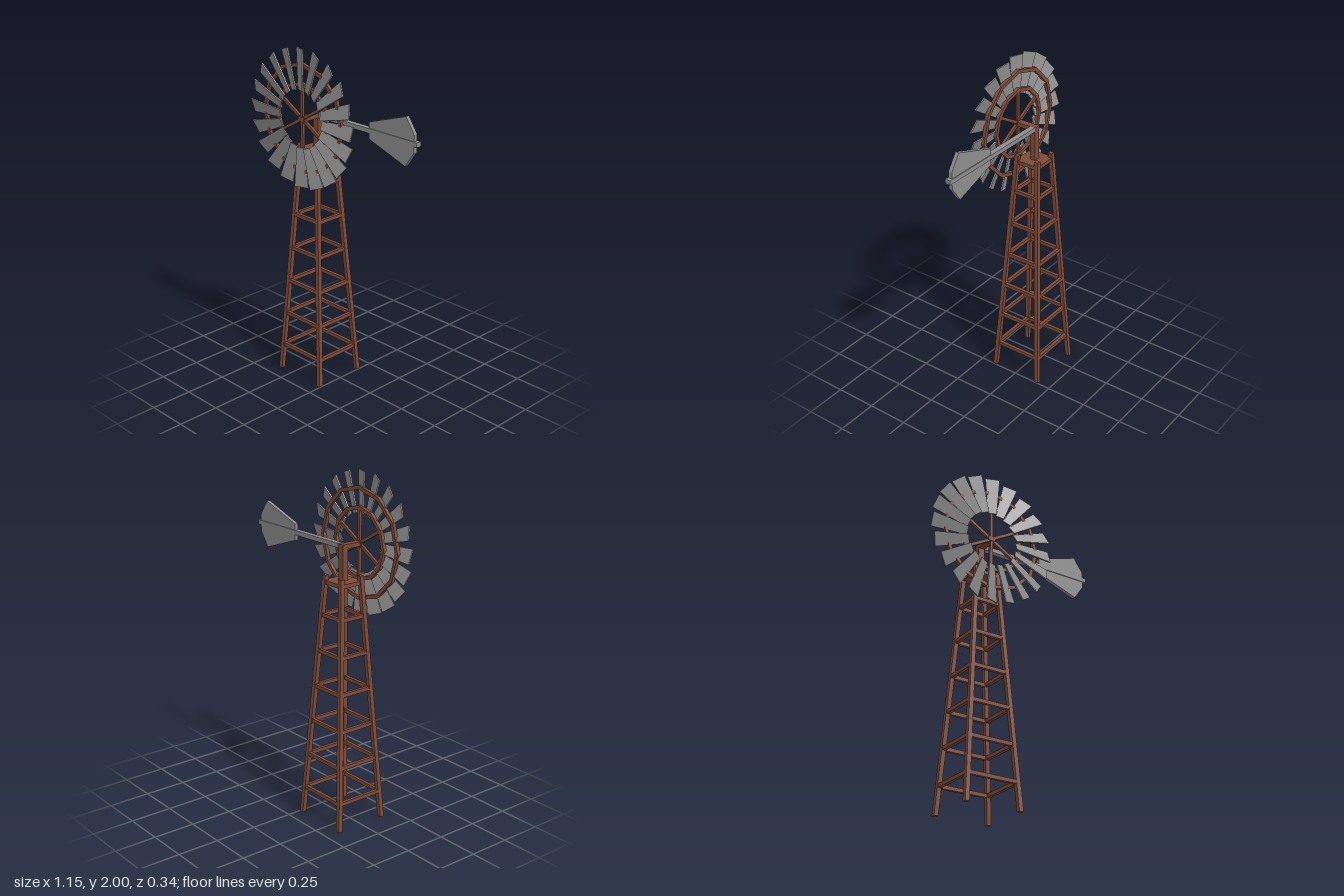
import * as THREE from 'three';

const wood = new THREE.MeshStandardMaterial({ color: 0x7d4b38 });
wood.name = 'brown wood';
const metal = new THREE.MeshStandardMaterial({ color: 0x8e8e8e });
metal.name = 'grey metal';

function add(parent, name, geometry, material, x = 0, y = 0, z = 0) {
  const mesh = new THREE.Mesh(geometry, material);
  mesh.name = name;
  mesh.position.set(x, y, z);
  parent.add(mesh);
  return mesh;
}

// Extrusion centred on its own depth
function slab(shape, depth) {
  return new THREE.ExtrudeGeometry(shape, { depth, bevelEnabled: false }).translate(0, 0, -depth / 2);
}

function polygon(points) {
  return new THREE.Shape(points.map(([x, y]) => new THREE.Vector2(x, y)));
}

// Flat twelve-sided hoop
function hoop(radius, width, depth) {
  const corners = (r) => Array.from({ length: 12 }, (_, i) => {
    const a = (i * Math.PI) / 6;
    return [r * Math.cos(a), r * Math.sin(a)];
  });
  const shape = polygon(corners(radius));
  shape.holes.push(polygon(corners(radius - width)));
  return slab(shape, depth);
}

function makeTower() {
  const tower = new THREE.Group();
  tower.name = 'tower';
  const legTop = 1.44;
  const half = (y) => {
    const t = y / legTop;
    return [0.166 + (0.067 - 0.166) * t, 0.155 + (0.067 - 0.155) * t];
  };

  // Four leaning legs with level ends
  for (const sx of [-1, 1]) for (const sz of [-1, 1]) {
    const geo = new THREE.BoxGeometry(0.026, legTop, 0.026).translate(0, legTop / 2, 0);
    const p = geo.attributes.position;
    for (let i = 0; i < p.count; i++) {
      const [hx, hz] = half(p.getY(i));
      p.setX(i, p.getX(i) + sx * hx);
      p.setZ(i, p.getZ(i) + sz * hz);
    }
    geo.computeVertexNormals();
    add(tower, 'leg', geo, wood);
  }

  // Levels of rungs on all four sides
  for (let i = 0; i < 6; i++) {
    const y = 0.162 + i * 0.2105;
    const [hx, hz] = half(y);
    for (const s of [-1, 1]) {
      add(tower, 'rung', new THREE.BoxGeometry(hx * 2, 0.022, 0.02), wood, 0, y, s * hz);
      add(tower, 'rung', new THREE.BoxGeometry(0.02, 0.022, hz * 2), wood, s * hx, y, 0);
    }
  }

  // Platform and the post that carries the head
  add(tower, 'platform', new THREE.BoxGeometry(0.155, 0.022, 0.155), wood, 0, 1.4, 0);
  add(tower, 'post', new THREE.BoxGeometry(0.04, 0.205, 0.034), wood, 0, 1.5105, 0);
  return tower;
}

function makeWheel() {
  const wheel = new THREE.Group();
  wheel.name = 'wheel';

  // Hoops, hub and spokes
  add(wheel, 'outerHoop', hoop(0.32, 0.022, 0.02), wood, 0, 0, -0.013);
  add(wheel, 'innerHoop', hoop(0.21, 0.022, 0.02), wood, 0, 0, -0.013);
  add(wheel, 'hub', new THREE.BoxGeometry(0.045, 0.026, 0.024), wood, 0, 0, -0.012);
  for (let i = 0; i < 6; i++) {
    const geo = new THREE.BoxGeometry(0.018, 0.2, 0.016).translate(0, 0.1, 0);
    add(wheel, 'spoke', geo, wood, 0, 0, -0.013).rotation.z = (i * Math.PI) / 3;
  }

  // Twenty pitched blades, wider at the tip
  const bladeGeo = slab(polygon([[-0.026, 0.165], [0.026, 0.165], [0.043, 0.398], [-0.043, 0.398]]), 0.008);
  bladeGeo.rotateY(-0.34);
  for (let i = 0; i < 20; i++) {
    add(wheel, 'blade', bladeGeo, metal).rotation.z = (i * Math.PI) / 10;
  }
  return wheel;
}

export function createModel() {
  const model = new THREE.Group();
  model.name = 'windPump';

  const body = new THREE.Group();
  body.name = 'towerAndHead';
  body.position.x = -0.18;
  model.add(body);
  body.add(makeTower());

  // Wheel on its axle
  const wheel = makeWheel();
  wheel.position.set(0, 1.6, 0.127);
  body.add(wheel);
  add(body, 'axle', new THREE.BoxGeometry(0.04, 0.026, 0.115), wood, 0, 1.6, 0.0525);

  // Tail boom and vane
  add(model, 'tailBoom', new THREE.BoxGeometry(0.735, 0.026, 0.032), metal, 0.2095, 1.602, -0.001);
  const vane = polygon([[0.23, 1.555], [0.495, 1.465], [0.555, 1.553],
    [0.555, 1.652], [0.495, 1.738], [0.23, 1.65]]);
  add(model, 'tailVane', slab(vane, 0.022), metal, 0, 0, -0.001);
  return model;
}
